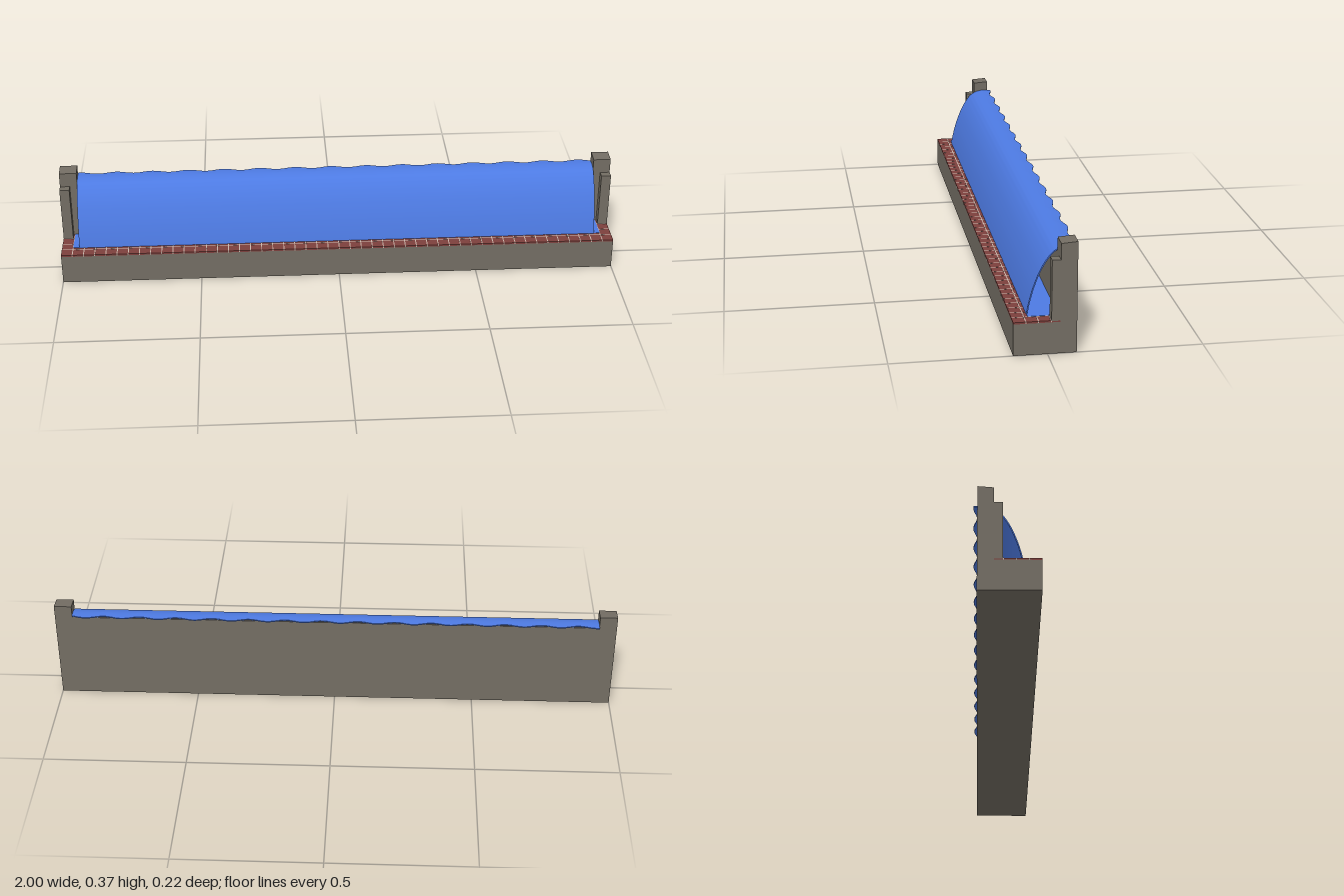
import * as THREE from 'three';
import { toCreasedNormals } from 'three/addons/utils/BufferGeometryUtils.js';

const mat = (name, color, extra = {}) => {
  const m = new THREE.MeshStandardMaterial({ color, ...extra });
  m.name = name;
  return m;
};

export function createModel() {
  const group = new THREE.Group();
  const stone = mat('stone', 0x736d63);
  const water = mat('water', 0x4d7ae2);
  const brick = mat('brick', 0x7c3f3c);
  const mortar = mat('mortar', 0xc9b5aa);

  const add = (name, geometry, material) => {
    const mesh = new THREE.Mesh(geometry, material);
    mesh.name = name;
    group.add(mesh);
    return mesh;
  };
  // Box given by its limits on each axis
  const box = (name, material, x0, x1, y0, y1, z0, z1) => {
    const g = new THREE.BoxGeometry(x1 - x0, y1 - y0, z1 - z0);
    g.translate((x0 + x1) / 2, (y0 + y1) / 2, (z0 + z1) / 2);
    return add(name, g, material);
  };
  // Side profile of [z, y] points swept along x
  const sweep = (points, x0, x1, steps = 1) => {
    const shape = new THREE.Shape(points.map(([z, y]) => new THREE.Vector2(z, y)));
    const g = new THREE.ExtrudeGeometry(shape, { depth: x1 - x0, steps, bevelEnabled: false });
    return g.rotateY(-Math.PI / 2).translate(x1, 0, 0);
  };

  // Stone base and back wall
  box('base', stone, -1, 1, 0, 0.106, -0.093, 0.109);
  add('backWall', sweep([[-0.093, 0.1], [-0.04, 0.1], [-0.04, 0.319], [-0.093, 0.325]], -0.94, 0.94), stone);

  // End pillars with sloping tops, and the short posts in front of them
  for (const s of [-1, 1]) {
    const [a, b] = s < 0 ? [-1, -0.938] : [0.938, 1];
    add('endPillar', sweep([[-0.093, 0.1], [-0.04, 0.1], [-0.04, 0.365], [-0.093, 0.369]], a, b), stone);
    const [c, d] = s < 0 ? [-1, -0.965] : [0.965, 1];
    box('frontPost', stone, c, d, 0.11, 0.312, -0.04, -0.012);
  }

  // Brick paving on the ledge, with mortar joints
  box('brickPaving', brick, -1, 1, 0.106, 0.112, -0.04, 0.109);
  const joint = 0.0016;
  for (const z of [-0.011, 0.029, 0.069]) {
    box('longJoint', mortar, -1.0004, 1.0004, 0.1065, 0.1124, z - joint, z + joint);
  }
  for (let i = 1; i < 50; i++) {
    const x = -1 + i * 0.04;
    box('crossJoint', mortar, x - joint, x + joint, 0.1065, 0.1124, -0.04, 0.1094);
  }

  // Shallow pool behind the falling water
  box('pool', water, -0.96, 0.96, 0.111, 0.1135, -0.04, 0.057);

  // Falling water: a thin curved sheet with a wavy back edge
  const curve = new THREE.SplineCurve([
    [0.058, 0.112], [0.05, 0.152], [0.037, 0.2], [0.018, 0.25], [0, 0.284],
    [-0.02, 0.311], [-0.04, 0.326], [-0.07, 0.334], [-0.1, 0.333],
  ].map(([z, y]) => new THREE.Vector2(z, y)));
  const outer = [], inner = [];
  const n = 28;
  for (let i = 0; i <= n; i++) {
    const p = curve.getPoint(i / n), t = curve.getTangent(i / n);
    outer.push([p.x, p.y]);
    inner.unshift([p.x - t.y * 0.004, p.y + t.x * 0.004]);
  }
  const sheet = sweep([...outer, ...inner], -0.938, 0.938, 140);
  const pos = sheet.attributes.position;
  for (let i = 0; i < pos.count; i++) {
    const k = THREE.MathUtils.smoothstep(-pos.getZ(i), 0.05, 0.1);
    const wave = Math.cos((pos.getX(i) + 0.8) * Math.PI * 2 / 0.13);
    pos.setZ(i, pos.getZ(i) - k * 0.006 * wave);
  }
  add('waterSheet', toCreasedNormals(sheet, 0.6), water);

  return group;
}
